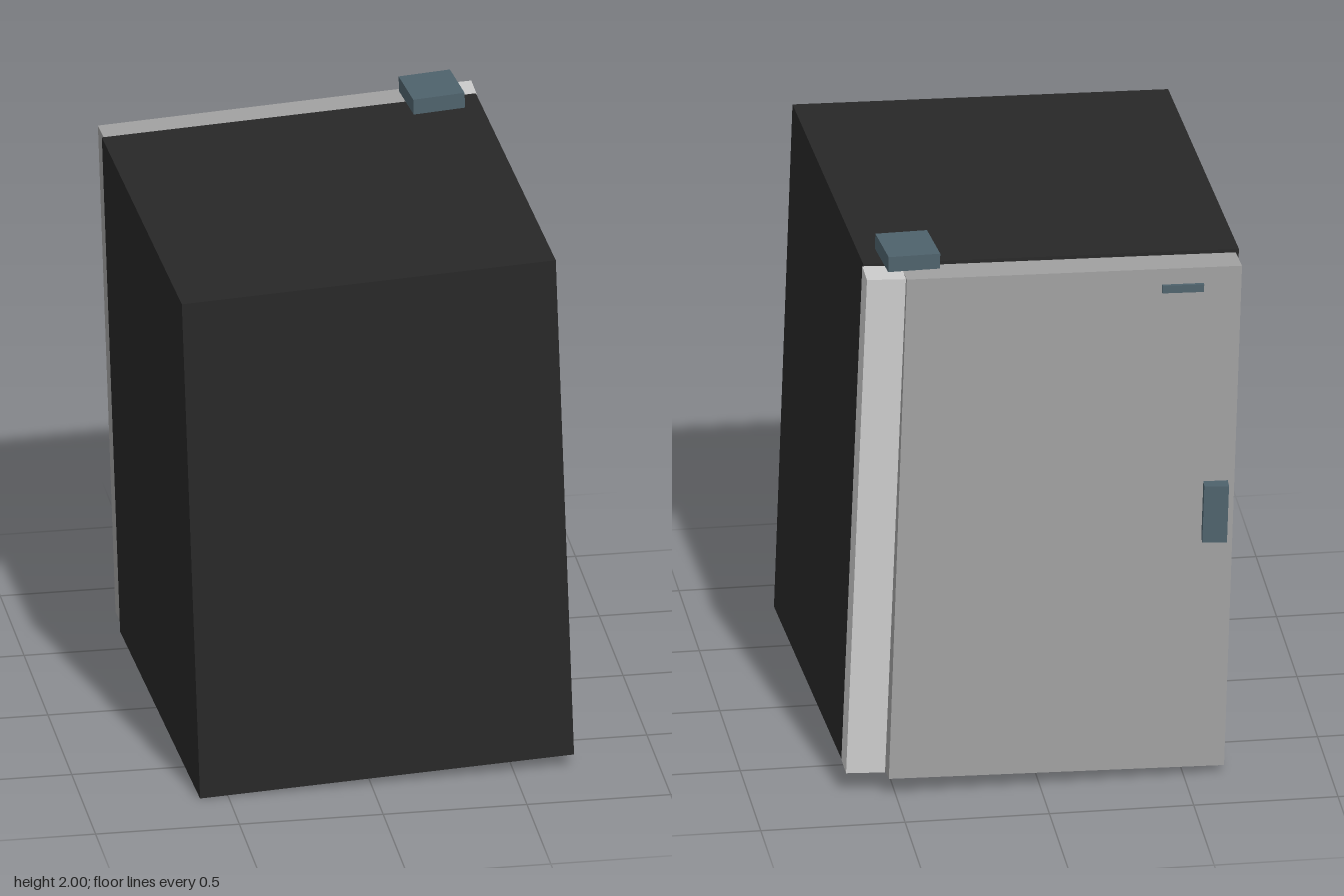
import * as THREE from 'three';

const mat = (color) => new THREE.MeshStandardMaterial({ color });

export function createModel() {
  const model = new THREE.Group();
  const black = mat(0x272727);
  const doorGrey = mat(0xa0a0a0);
  const paleGrey = mat(0xcccccc);
  const slate = mat(0x4e626c);

  // Every part is a slightly tilted box
  const addBox = (name, material, size, position, rotation) => {
    const mesh = new THREE.Mesh(new THREE.BoxGeometry(...size), material);
    mesh.name = name;
    mesh.position.set(...position);
    mesh.rotation.set(...rotation);
    model.add(mesh);
  };

  // Cabinet leaning a little to one side
  addBox('cabinet', black, [1.31, 1.88, 1.375], [-0.003, 0.97, 0.07], [0.0117, 0.0365, 0.036]);

  // Door and the narrow post beside it
  addBox('door', doorGrey, [1.17, 1.86, 0.12], [-0.089, 0.976, -0.687], [0.023, 0.042, 0.037]);
  addBox('hingePost', paleGrey, [0.135, 1.857, 0.115], [0.565, 1.005, -0.69], [0, 0, 0.039]);

  // Hinge cover on top
  addBox('hingeCover', slate, [0.182, 0.056, 0.2], [0.435, 1.969, -0.603], [0, 0.09, 0.03]);

  // Handle and small plate on the door
  addBox('handle', slate, [0.085, 0.21, 0.055], [-0.61, 0.985, -0.745], [0.02, -0.06, 0.037]);
  addBox('doorPlate', slate, [0.145, 0.028, 0.02], [-0.503, 1.82, -0.713], [0.023, 0.03, 0.037]);

  return model;
}
